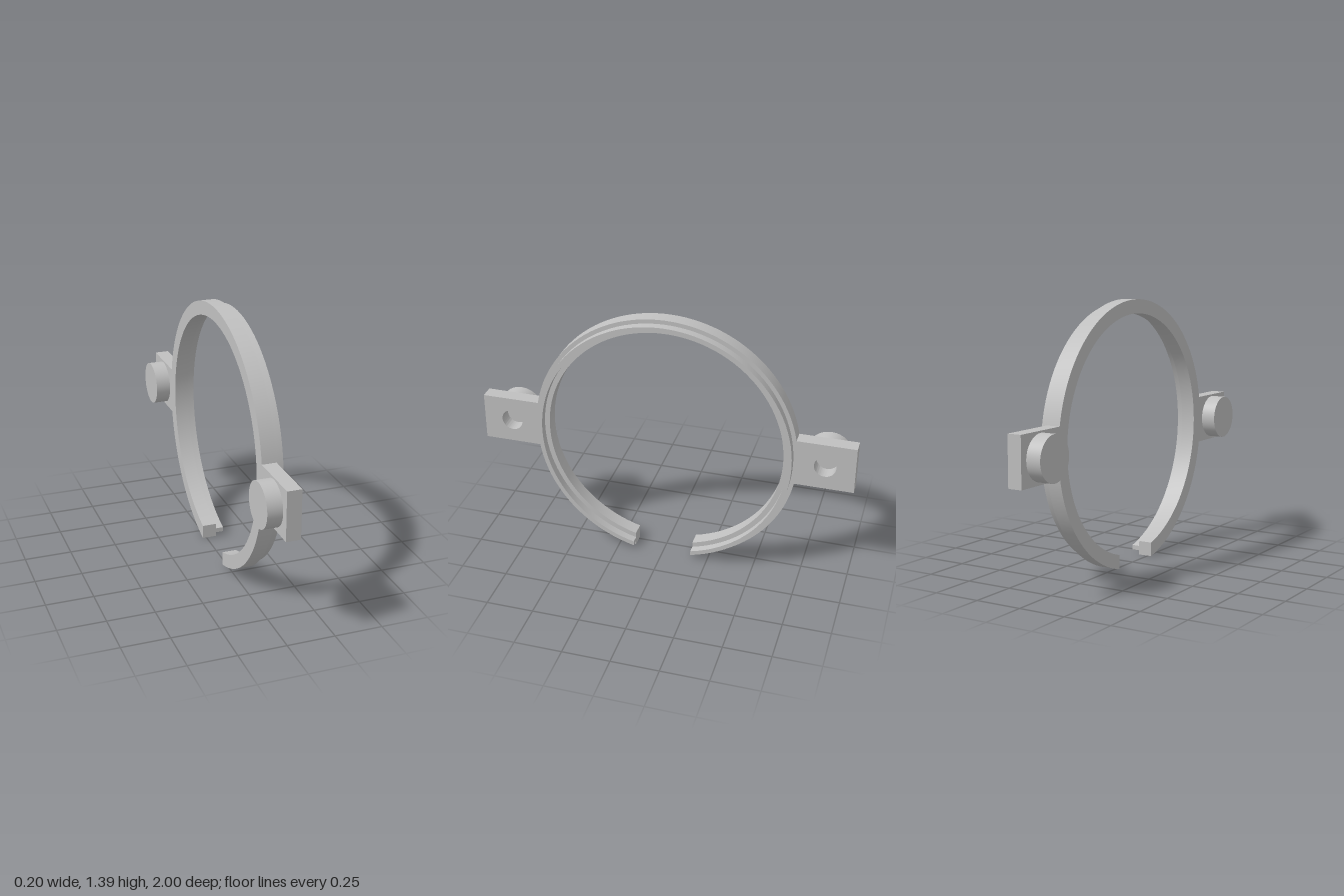
import * as THREE from 'three';
import { toCreasedNormals } from 'three/addons/utils/BufferGeometryUtils.js';

const CY = 0.686;                 // height of the ring's axis
const GAP = 0.16;                 // half width of the opening at the bottom
const R_OUT = 0.704, R_IN = 0.631;
const TAB_H = 0.128, TAB_END = 1, HOLE_Z = 0.845;
const X_BACK = -0.02, X_FACE = 0.055, X_LIP = 0.098, X_PAD = -0.098;

// Angle where a circle of radius r meets the right edge of the opening
const gapAngle = (r) => -Math.acos(GAP / r);

// Extrude a profile along +x, from x0 to x1
function extrudeX(shape, x0, x1) {
  const geo = new THREE.ExtrudeGeometry(shape, { depth: x1 - x0, bevelEnabled: false, curveSegments: 48 });
  geo.rotateY(Math.PI / 2);
  geo.translate(x0, CY, 0);
  return toCreasedNormals(geo, 0.5);
}

// Inner edge of a split ring, running back to the start
function closeInner(shape, r) {
  const a = gapAngle(r);
  shape.absarc(0, 0, r, Math.PI - a, a, true);
  shape.closePath();
}

export function createModel() {
  const group = new THREE.Group();
  group.name = 'splitRingBracket';
  const grey = new THREE.MeshStandardMaterial({ color: 0xc0c0c0 });
  grey.name = 'grey';

  const add = (geo, name) => {
    const mesh = new THREE.Mesh(geo, grey);
    mesh.name = name;
    group.add(mesh);
    return mesh;
  };

  // Split ring with a drilled mounting tab on each side
  const body = new THREE.Shape();
  const a = gapAngle(R_OUT), t = Math.asin(TAB_H / R_OUT);
  body.absarc(0, 0, R_OUT, a, -t, false);
  body.lineTo(TAB_END, -TAB_H);
  body.lineTo(TAB_END, TAB_H);
  body.absarc(0, 0, R_OUT, t, Math.PI - t, false);
  body.lineTo(-TAB_END, TAB_H);
  body.lineTo(-TAB_END, -TAB_H);
  body.absarc(0, 0, R_OUT, Math.PI + t, Math.PI - a, false);
  closeInner(body, R_IN);
  for (const s of [-1, 1]) {
    const hole = new THREE.Path();
    hole.absarc(s * HOLE_Z, 0, 0.057, 0, Math.PI * 2, true);
    body.holes.push(hole);
  }
  add(extrudeX(body, X_BACK, X_FACE), 'ringWithTabs');

  // Narrow raised lip on the ring's face
  const lip = new THREE.Shape();
  const rl = 0.682, al = gapAngle(rl);
  lip.absarc(0, 0, rl, al, Math.PI - al, false);
  closeInner(lip, 0.658);
  add(extrudeX(lip, X_FACE, X_LIP), 'raisedLip');

  // Round pads behind the tabs, closing the holes
  for (const s of [-1, 1]) {
    const geo = new THREE.CylinderGeometry(0.116, 0.116, X_BACK - X_PAD, 64);
    geo.rotateZ(Math.PI / 2);
    const pad = add(geo, s > 0 ? 'frontPad' : 'backPad');
    pad.position.set((X_BACK + X_PAD) / 2, CY + 0.002, s * HOLE_Z);
  }
  return group;
}
